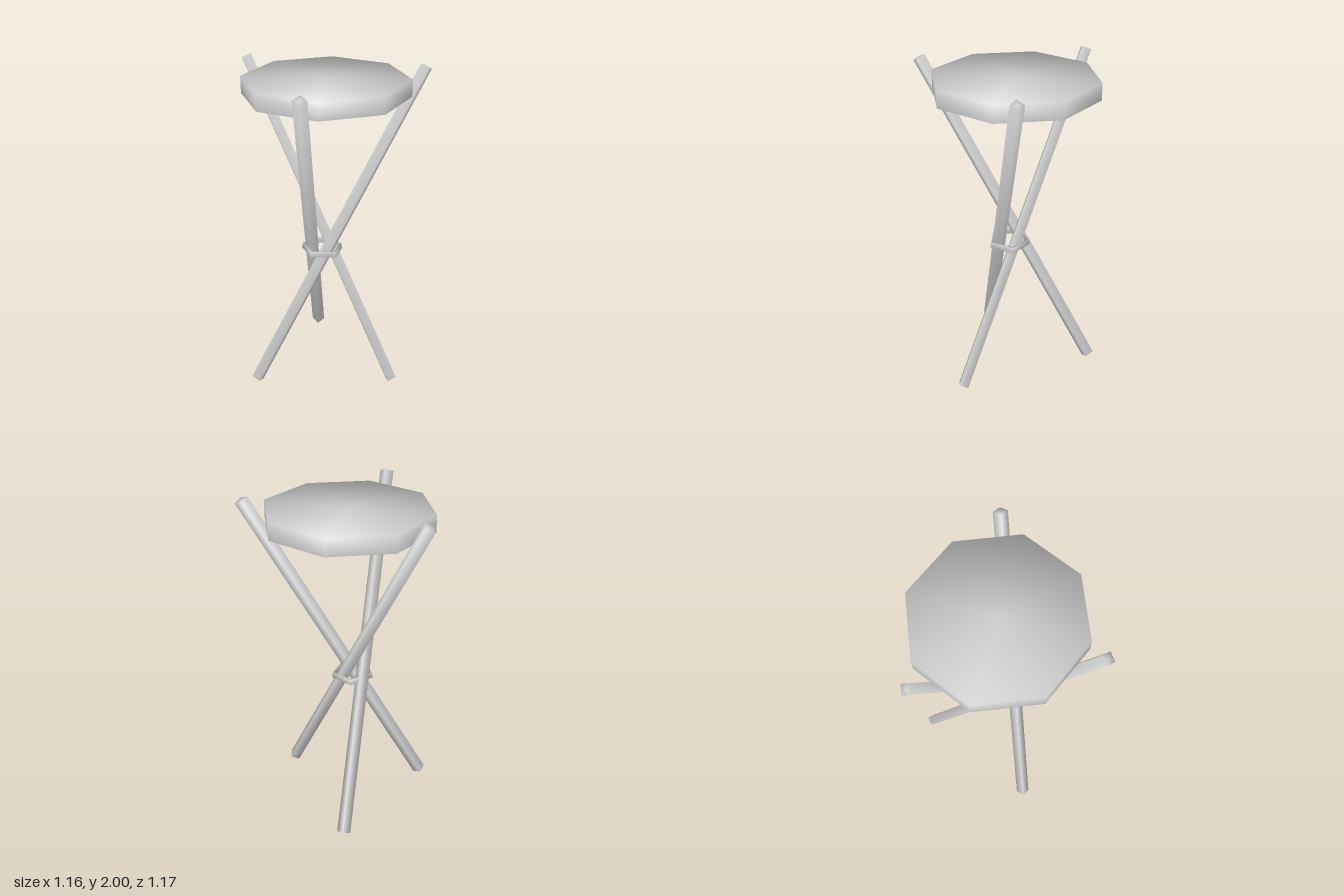
import * as THREE from 'three';

const grey = new THREE.MeshStandardMaterial({ color: 0xcccccc, side: THREE.DoubleSide });

function addMesh(parent, name, geometry) {
  const mesh = new THREE.Mesh(geometry, grey);
  mesh.name = name;
  parent.add(mesh);
  return mesh;
}

function lathe(points, sides, start = 0) {
  const profile = points.map(([x, y]) => new THREE.Vector2(x, y));
  return new THREE.LatheGeometry(profile, sides, start);
}

// Prism with a closed top and open bottom, its normals running smoothly over the rim
function cappedPrism(radius, height, sides) {
  const h = height / 2;
  const geo = lathe([[radius, -h], [radius, h], [0, h]], sides);
  const pos = geo.attributes.position;
  for (let i = 0; i < pos.count; i++) {
    const up = pos.getY(i) > 0 ? 0.86 : 0;
    geo.attributes.normal.setXYZ(i, pos.getX(i) / radius, up, pos.getZ(i) / radius);
  }
  return geo;
}

// Four-sided pole between two points, one diagonal kept level
function addLeg(parent, name, bottom, top) {
  const a = new THREE.Vector3(...bottom);
  const b = new THREE.Vector3(...top);
  const d = b.clone().sub(a);
  const leg = addMesh(parent, name, cappedPrism(0.041, d.length(), 4));
  leg.position.copy(a).add(b).multiplyScalar(0.5);
  leg.rotation.set(Math.atan2(Math.hypot(d.x, d.z), d.y), Math.atan2(d.x, d.z), 0, 'YXZ');
}

export function createModel() {
  const model = new THREE.Group();
  model.name = 'tripodStool';

  // Seat, hollow underneath
  addMesh(model, 'seat', cappedPrism(0.502, 0.103, 8)).position.set(-0.035, 1.888, -0.06);

  // Three crossing legs
  addLeg(model, 'frontLeg', [-0.135, 0.02, -0.547], [-0.12, 1.98, 0.547]);
  addLeg(model, 'leftLeg', [-0.46, 0.02, 0.22], [0.546, 1.98, -0.212]);
  addLeg(model, 'rightLeg', [0.402, 0.02, 0.158], [-0.552, 1.98, -0.38]);

  // Slightly tilted five-sided band tying the legs together
  const section = [[0.122, -0.017], [0.134, -0.017], [0.127, 0.017], [0.115, 0.017], [0.122, -0.017]];
  const band = addMesh(model, 'legBand', lathe(section, 5, Math.PI / 4));
  band.position.set(-0.055, 0.857, -0.02);
  band.rotation.set(-0.05, 0, -0.05);

  return model;
}
